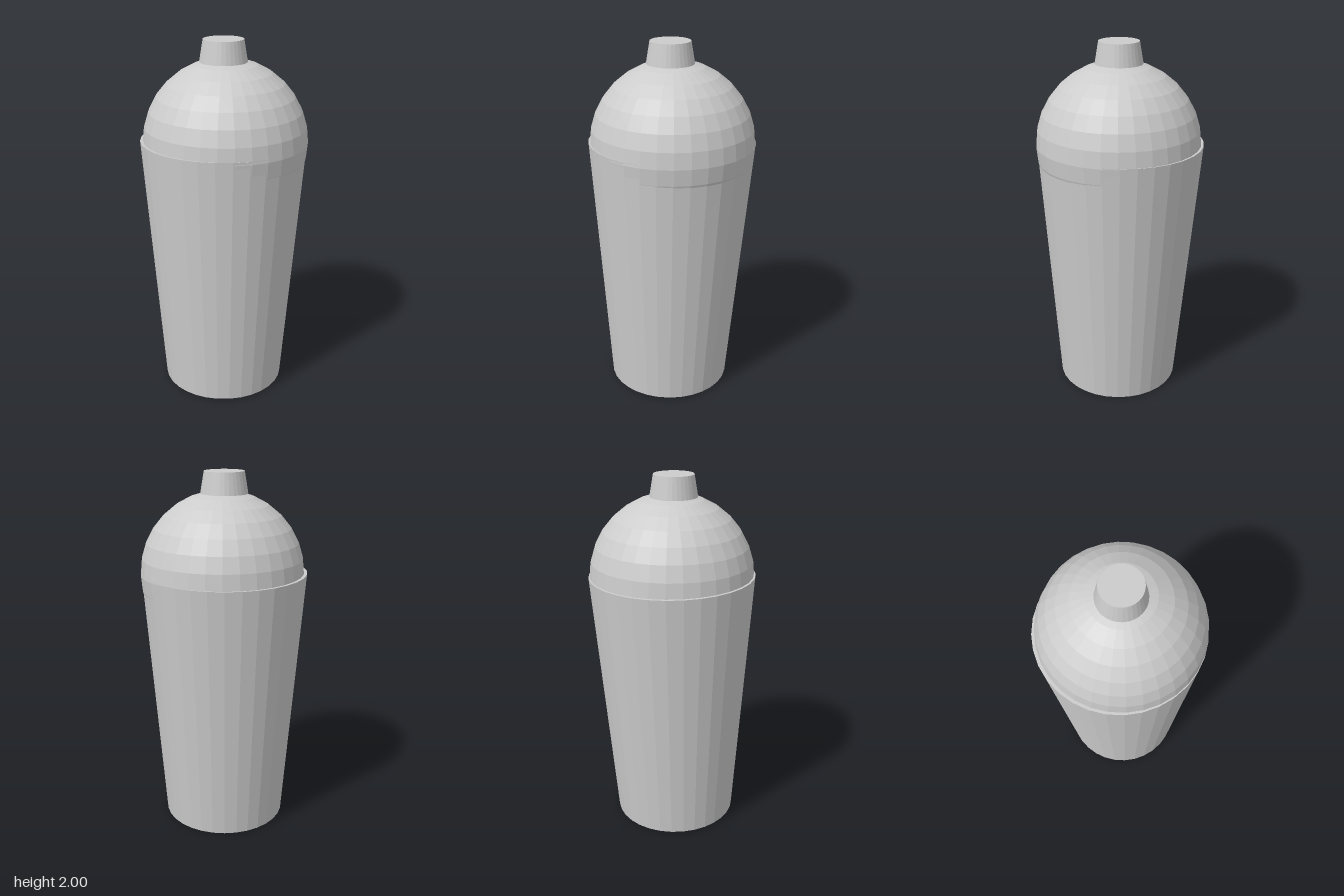
import * as THREE from 'three';

export function createModel() {
  const group = new THREE.Group();
  const material = new THREE.MeshStandardMaterial({ color: 0xcccccc, flatShading: true });

  const add = (name, geometry, x, y, z) => {
    const mesh = new THREE.Mesh(geometry, material);
    mesh.name = name;
    mesh.position.set(x, y, z);
    group.add(mesh);
    return mesh;
  };

  // Tapered cup, leaning back very slightly
  const body = add('body', new THREE.CylinderGeometry(0.456, 0.345, 1.455, 32), -0.004, 0.733, 0.0085);
  body.rotation.x = -0.0155;

  // Round lid, set a little off the cup's axis so it bulges past the rim on one side
  add('dome', new THREE.SphereGeometry(0.45, 32, 16), 0.006, 1.45, 0);

  // Short tapered cap, its foot sunk into the dome
  add('cap', new THREE.CylinderGeometry(0.109, 0.129, 0.118, 32), -0.004, 1.941, 0.007);

  return group;
}
